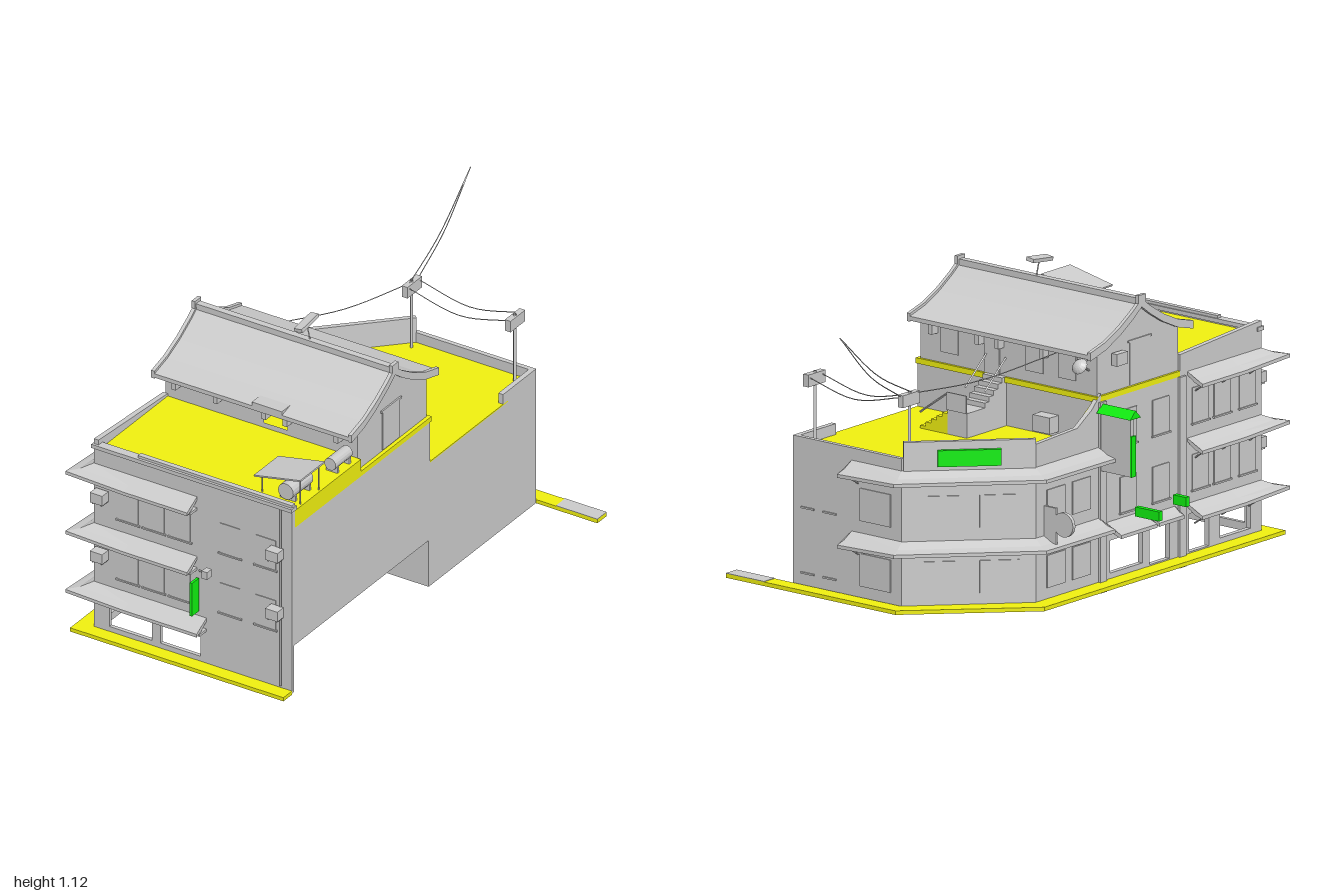
import * as THREE from 'three';

const grey = new THREE.MeshStandardMaterial({ color: 0xcccccc, flatShading: true });
const thin = new THREE.MeshStandardMaterial({ color: 0xcccccc, flatShading: true, side: THREE.DoubleSide });
const yellow = new THREE.MeshStandardMaterial({ color: 0xf0f010 });
const green = new THREE.MeshStandardMaterial({ color: 0x10f010 });
const V = (x, y, z) => new THREE.Vector3(x, y, z);

export function createModel() {
  const model = new THREE.Group();
  const add = (name, geo, mat = grey) => {
    const mesh = new THREE.Mesh(geo, mat);
    mesh.name = name;
    model.add(mesh);
    return mesh;
  };
  // Box from its minimum and maximum on each axis
  const box = (name, x0, x1, y0, y1, z0, z1, mat) => add(name,
    new THREE.BoxGeometry(x1 - x0, y1 - y0, z1 - z0).translate((x0 + x1) / 2, (y0 + y1) / 2, (z0 + z1) / 2), mat);
  const shapeOf = (pts, holes = []) => {
    const s = new THREE.Shape(pts.map(p => new THREE.Vector2(...p)));
    for (const [a, b, c, d] of holes) {
      s.holes.push(new THREE.Path([[a, c], [a, d], [b, d], [b, c]].map(p => new THREE.Vector2(...p))));
    }
    return s;
  };
  const extrude = (shape, depth) => new THREE.ExtrudeGeometry(shape, { depth, bevelEnabled: false });
  // Plan outline of (x, z) raised from y0 to y1
  const prism = (name, pts, y0, y1, mat) => add(name,
    extrude(shapeOf(pts.map(([x, z]) => [x, -z])), y1 - y0).rotateX(-Math.PI / 2).translate(0, y0, 0), mat);
  // Side outline of (z, y) drawn out from x0 to x1; holes are [z0, z1, y0, y1]
  const alongX = (name, pts, x0, x1, mat, holes = []) => add(name,
    extrude(shapeOf(pts.map(([z, y]) => [-z, y]), holes.map(([a, b, c, d]) => [-b, -a, c, d])), x1 - x0)
      .rotateY(Math.PI / 2).translate(x0, 0, 0), mat);
  // Upright slab between two plan points
  const slab = (name, [xa, za], [xb, zb], y0, y1, t, mat) => {
    const m = add(name, new THREE.BoxGeometry(Math.hypot(xb - xa, zb - za), y1 - y0, t), mat);
    m.position.set((xa + xb) / 2, (y0 + y1) / 2, (za + zb) / 2);
    m.rotation.y = -Math.atan2(zb - za, xb - xa);
    return m;
  };
  const tube = (name, pts, r, seg = 12) => add(name,
    new THREE.TubeGeometry(new THREE.CatmullRomCurve3(pts), seg, r, 4), thin);
  const rod = (name, a, b, r) => tube(name, [a, b], r, 1);

  // Sloped awning: wall line, outer line, height at wall and at lip, lifted at the corners
  const awning = (inner, outer, yIn, yOut, lifts) => {
    const pos = [], idx = [], t = 0.013;
    inner.forEach(([xi, zi], i) => {
      const [xo, zo] = outer[i], y = yOut + (lifts[i] || 0);
      const xm = (xi + xo) / 2, zm = (zi + zo) / 2, ym = (yIn + y) / 2 - 0.006;
      pos.push(xi, yIn, zi, xm, ym, zm, xo, y, zo, xo, y - t, zo, xm, ym - t, zm, xi, yIn - t, zi);
    });
    for (let i = 0; i < inner.length - 1; i++) for (let k = 0; k < 6; k++) {
      const a = i * 6 + k, b = i * 6 + (k + 1) % 6;
      idx.push(a, b, a + 6, b, b + 6, a + 6);
    }
    for (const e of [0, (inner.length - 1) * 6]) for (let k = 1; k < 5; k++) idx.push(e, e + k, e + k + 1);
    const g = new THREE.BufferGeometry();
    g.setAttribute('position', new THREE.Float32BufferAttribute(pos, 3));
    g.setIndex(idx);
    g.computeVertexNormals();
    add('awning', g, thin);
  };

  // Pavement
  prism('pavement', [[0.37, 0.975], [-0.53, 0.975], [-0.53, -0.36], [-0.155, -0.735], [0.625, -0.735],
    [0.625, -0.675], [-0.13, -0.675], [-0.465, -0.33], [-0.465, 0.92], [0.37, 0.92]], 0.025, 0.04, yellow);
  box('pavementEnd', 0.45, 0.625, 0.038, 0.042, -0.735, -0.675);

  // Main masses: low rear block with a cut corner, raised front block
  prism('rearBlock', [[-0.465, 0.03], [0.37, 0.03], [0.37, -0.67], [-0.13, -0.67], [-0.465, -0.33]], 0.03, 0.535);
  box('frontBlock', -0.465, 0.37, 0.22, 0.70, 0.03, 0.92);
  box('rearUpperWall', -0.465, 0.37, 0.535, 0.70, 0.02, 0.03);
  prism('terraceFloor', [[-0.445, 0.02], [0.37, 0.02], [0.37, -0.66], [-0.13, -0.66], [-0.445, -0.34]], 0.535, 0.54, yellow);
  box('frontRoofDeck', -0.445, 0.37, 0.70, 0.77, 0.47, 0.90, yellow);
  box('houseFloor', -0.465, 0.37, 0.70, 0.72, 0.01, 0.47, yellow);

  // Ground floor walls with openings, open on the left side
  add('shopFront', extrude(shapeOf([[-0.465, 0.03], [0.37, 0.03], [0.37, 0.22], [-0.465, 0.22]],
    [[-0.40, -0.22, 0.06, 0.18], [-0.185, -0.015, 0.06, 0.18]]), 0.015).translate(0, 0, 0.905));
  alongX('shopSide', [[0.92, 0.03], [0.03, 0.03], [0.03, 0.22], [0.92, 0.22]], -0.465, -0.445, grey,
    [[0.69, 0.86, 0.06, 0.18], [0.52, 0.63, 0.045, 0.185], [0.30, 0.41, 0.045, 0.185], [0.08, 0.26, 0.06, 0.18]]);
  for (const z of [0.475, 0.035]) box('pillar', -0.475, -0.44, 0, 0.70, z - 0.018, z + 0.018);

  // Parapets
  box('frontParapet', -0.465, -0.28, 0.70, 0.79, 0.90, 0.92);
  box('frontParapet', -0.28, 0.37, 0.70, 0.80, 0.90, 0.92);
  box('coping', -0.47, 0.375, 0.775, 0.79, 0.895, 0.93);
  alongX('sideParapet', [[0.92, 0.70], [0.47, 0.70], [0.47, 0.78], [0.92, 0.81]], -0.465, -0.445);
  alongX('rearSideParapet', [[0.03, 0.53], [0.03, 0.73], [-0.02, 0.68], [-0.10, 0.63], [-0.33, 0.62], [-0.33, 0.53]], -0.465, -0.447);
  alongX('parapetLining', [[0.02, 0.54], [0.02, 0.71], [-0.10, 0.62], [-0.20, 0.61], [-0.20, 0.54]], -0.447, -0.444, yellow);
  slab('cornerParapet', [-0.46, -0.325], [-0.13, -0.66], 0.53, 0.64, 0.018);
  box('backParapet', -0.13, 0.37, 0.53, 0.58, -0.67, -0.652);
  box('endParapet', 0.35, 0.37, 0.535, 0.58, -0.67, -0.455);

  // Awnings around the front corner and around the rear corner
  for (const [y, x] of [[0.225, 0.01], [0.465, -0.03], [0.71, -0.03]]) {
    awning([[x, 0.92], [-0.30, 0.92], [-0.465, 0.92], [-0.465, 0.75], [-0.465, 0.51]],
      [[x, 0.985], [-0.30, 0.985], [-0.54, 0.99], [-0.535, 0.75], [-0.535, 0.51]], y, y - 0.035, [0, 0, 0.012]);
    box('awningBeam', -0.45, x, y - 0.055, y - 0.045, 0.92, 0.965);
    for (const px of [-0.42, -0.30, -0.18, -0.06]) rod('awningStrut', V(px, y - 0.04, 0.975), V(px, y - 0.08, 0.92), 0.003);
    for (const pz of [0.85, 0.70, 0.55]) rod('awningStrut', V(-0.525, y - 0.04, pz), V(-0.465, y - 0.08, pz), 0.003);
  }
  for (const y of [0.275, 0.535]) {
    awning([[-0.465, 0.02], [-0.465, -0.33], [-0.13, -0.67], [0.10, -0.67]],
      [[-0.54, 0.02], [-0.54, -0.36], [-0.16, -0.75], [0.10, -0.75]], y, y - 0.035, [0.006, 0.008, 0.008, 0]);
    rod('awningStrut', V(0.07, y - 0.04, -0.735), V(0.07, y - 0.08, -0.67), 0.003);
  }
  awning([[-0.465, 0.26], [-0.465, 0.06]], [[-0.535, 0.26], [-0.535, 0.06]], 0.25, 0.215, []);
  awning([[-0.465, 0.44], [-0.465, 0.30]], [[-0.51, 0.44], [-0.51, 0.30]], 0.23, 0.205, []);

  // Upper windows and sills on all street sides
  for (const y of [0.27, 0.515]) {
    for (const x of [-0.32, -0.21, -0.10, 0.11, 0.26]) {
      box('window', x - 0.042, x + 0.042, y, y + 0.12, 0.92, 0.923);
      box('sill', x - 0.05, x + 0.05, y - 0.006, y, 0.92, 0.927);
    }
    for (const z of [0.84, 0.70, 0.58, 0.36, 0.18]) {
      box('window', -0.469, -0.465, y, y + 0.13, z - 0.045, z + 0.045);
      box('sill', -0.474, -0.465, y - 0.006, y, z - 0.05, z + 0.05);
    }
  }
  for (const y of [0.08, 0.32]) {
    for (const z of [-0.08, -0.22]) box('window', -0.469, -0.465, y, y + 0.12, z - 0.05, z + 0.05);
    for (const f of [0.27, 0.72]) {
      const x = -0.465 + f * 0.335, z = -0.33 - f * 0.34;
      slab('window', [x - 0.05, z + 0.05], [x + 0.05, z - 0.05], y, y + 0.12, 0.008);
    }
    box('window', -0.08, 0.06, y, y + 0.12, -0.674, -0.67);
    for (const x of [0.2, 0.3]) box('sill', x - 0.03, x + 0.03, y, y + 0.006, -0.676, -0.67);
  }

  // Air conditioners on the front
  for (const x of [-0.427, 0.312]) for (const y of [0.355, 0.595]) {
    box('airConditioner', x - 0.026, x + 0.026, y - 0.02, y + 0.02, 0.925, 0.965);
    for (const s of [-0.018, 0.018]) box('bracket', x + s - 0.003, x + s + 0.003, y - 0.027, y - 0.02, 0.92, 0.96);
  }
  box('wallLamp', 0.025, 0.048, 0.42, 0.45, 0.945, 0.975);
  rod('lampArm', V(-0.02, 0.41, 0.92), V(0.035, 0.435, 0.96), 0.004);
  rod('drainPipe', V(0.325, 0.05, 0.925), V(0.325, 0.79, 0.925), 0.004);

  // House on the roof: hollow walls with a front doorway
  const wall = (name, shape, turn, x, z) => add(name, new THREE.ShapeGeometry(shape).rotateY(turn).translate(x, 0, z));
  const rect = [[-0.455, 0.72], [0.355, 0.72], [0.355, 0.90], [-0.455, 0.90]];
  wall('houseFront', shapeOf(rect, [[-0.04, 0.06, 0.79, 0.87]]), 0, 0, 0.47);
  wall('houseBack', shapeOf(rect.map(([x, y]) => [-x, y]).reverse()), Math.PI, 0, 0.02);
  const gable = [[-0.225, 0.72], [0.225, 0.72], [0.225, 0.89], [0.13, 0.935], [0, 1.015], [-0.13, 0.935], [-0.225, 0.89]];
  wall('houseGable', shapeOf(gable), Math.PI / 2, 0.355, 0.245);
  wall('houseGable', shapeOf(gable), -Math.PI / 2, -0.455, 0.245);
  for (const x of [-0.458, 0.355]) {
    box('gableDoor', x, x + 0.004, 0.725, 0.88, 0.20, 0.31);
    box('doorLintel', x - 0.002, x + 0.006, 0.88, 0.888, 0.19, 0.32);
  }
  for (const x of [-0.32, -0.17, 0.22]) box('houseWindow', x - 0.04, x + 0.04, 0.76, 0.85, 0.016, 0.02);
  box('houseWindow', -0.01, 0.06, 0.72, 0.86, 0.015, 0.02);
  box('doorCanopy', -0.052, 0.075, 0.882, 0.90, 0.47, 0.53);

  // Curved roof with raised end ribs and ridge
  const half = [[0, 1.025], [0.05, 0.988], [0.12, 0.945], [0.20, 0.908], [0.285, 0.885]];
  const roofLine = (lift, t) => {
    const top = [...half.slice(1).reverse().map(([d, y]) => [-d, y]), ...half];
    return [...top.map(([d, y]) => [0.245 + d, y + lift]), ...top.reverse().map(([d, y]) => [0.245 + d, y + lift - t])];
  };
  alongX('roof', roofLine(0, 0.016), -0.47, 0.367);
  for (const x of [-0.476, 0.355]) alongX('roofRib', roofLine(0.01, 0.03), x, x + 0.014);
  box('ridge', -0.476, 0.369, 1.012, 1.038, 0.232, 0.258);
  for (const x of [-0.47, 0.362]) box('ridgeEnd', x - 0.007, x + 0.007, 1.02, 1.05, 0.225, 0.265);
  for (const x of [-0.40, -0.225, -0.02, 0.07, 0.285]) for (const s of [1, -1]) {
    const z = 0.245 + s * 0.24;
    box('eaveBracket', x - 0.009, x + 0.009, 0.825, 0.885, z - 0.018, z + 0.018);
  }

  // Aerial on the ridge
  rod('aerialRod', V(0.01, 1.03, 0.245), V(-0.005, 1.10, 0.245), 0.003);
  const aerial = add('aerialPlate', new THREE.BoxGeometry(0.034, 0.014, 0.11));
  aerial.position.set(-0.006, 1.10, 0.245);
  aerial.rotation.set(0.12, 0, 0.15);

  // Water tanks and tilted cover on the front roof
  const tank = (x, y, z, r, len) => {
    add('waterTank', new THREE.CylinderGeometry(r, r, len, 16).rotateX(Math.PI / 2).translate(x, y, z));
    for (const s of [-0.35, 0.35]) box('tankFoot', x - r, x + r, 0.77, y - r * 0.5, z + s * len - 0.006, z + s * len + 0.006);
  };
  tank(0.305, 0.808, 0.795, 0.032, 0.13);
  tank(0.33, 0.805, 0.555, 0.024, 0.11);
  const cover = add('tankCover', new THREE.BoxGeometry(0.20, 0.006, 0.16));
  cover.position.set(0.275, 0.857, 0.79);
  cover.rotation.z = 0.2;
  for (const z of [0.73, 0.85]) {
    rod('coverPost', V(0.20, 0.77, z), V(0.20, 0.84, z), 0.003);
    rod('coverPost', V(0.36, 0.77, z), V(0.36, 0.87, z), 0.003);
  }

  // Terrace stairs: a flight along the wall, a landing, then a flight to the house
  box('stairLanding', -0.04, 0.05, 0.54, 0.63, -0.20, -0.10);
  for (let i = 0; i < 5; i++) {
    box('lowerStep', 0.05 + i * 0.025, 0.075 + i * 0.025, 0.54, 0.615 - i * 0.016, -0.20, -0.10, yellow);
    box('upperStep', -0.04, 0.05, 0.54, 0.648 + i * 0.018, -0.10 + i * 0.024, -0.076 + i * 0.024);
  }
  rod('handrail', V(0.175, 0.60, -0.20), V(0.05, 0.69, -0.20), 0.004);
  box('landingRail', -0.04, 0.05, 0.63, 0.695, -0.204, -0.198);
  for (const x of [-0.04, 0.05]) rod('handrail', V(x, 0.69, -0.10), V(x, 0.79, 0.015), 0.004);

  // Dish and air conditioner by the rear wall
  add('dish', new THREE.SphereGeometry(0.035, 14, 5, 0, Math.PI * 2, 0, 1.1), thin).rotation.x = -0.9;
  model.children.at(-1).position.set(-0.42, 0.825, -0.02);
  rod('dishArm', V(-0.42, 0.81, 0.02), V(-0.42, 0.835, -0.03), 0.004);
  box('airConditioner', -0.28, -0.20, 0.56, 0.62, -0.03, 0.02);
  box('airConditioner', -0.49, -0.465, 0.82, 0.865, 0.09, 0.15);

  // Poles and wires
  for (const x of [-0.12, 0.315]) {
    rod('pole', V(x, 0.54, -0.615), V(x, 0.815, -0.615), 0.007);
    box('poleBox', x - 0.012, x + 0.012, 0.765, 0.81, -0.665, -0.57);
  }
  for (const z of [-0.655, -0.585]) {
    tube('wire', [V(-0.12, 0.80, z), V(0.10, 0.755, z), V(0.315, 0.80, z)], 0.002);
    tube('wire', [V(-0.12, 0.80, z), V(-0.12, 0.91, (z - 1) / 2), V(-0.12, 1.09, -1)], 0.002);
  }
  tube('wire', [V(-0.12, 0.805, -0.615), V(-0.21, 0.81, -0.33), V(-0.31, 0.865, -0.03)], 0.002);

  // Signs
  box('bladeSign', -0.61, -0.47, 0.45, 0.66, 0.02, 0.04);
  box('bladeSignEdge', -0.617, -0.61, 0.45, 0.60, 0.018, 0.042, green);
  alongX('bladeSignCanopy', [[0.0, 0.665], [0.03, 0.695], [0.06, 0.665]], -0.625, -0.47, green);
  box('hangingSign', -0.026, -0.016, 0.25, 0.385, 0.93, 0.975, green);
  box('smallSign', -0.60, -0.49, 0.25, 0.285, 0.19, 0.21, green);
  box('smallSign', -0.55, -0.49, 0.25, 0.285, 0.40, 0.42, green);
  slab('cornerSign', [-0.38, -0.42], [-0.22, -0.58], 0.55, 0.61, 0.03, green);
  add('roundSign', new THREE.CylinderGeometry(0.045, 0.045, 0.014, 20).rotateX(Math.PI / 2).translate(-0.555, 0.33, -0.28));
  box('signArm', -0.52, -0.46, 0.25, 0.385, -0.285, -0.275);

  return model;
}
